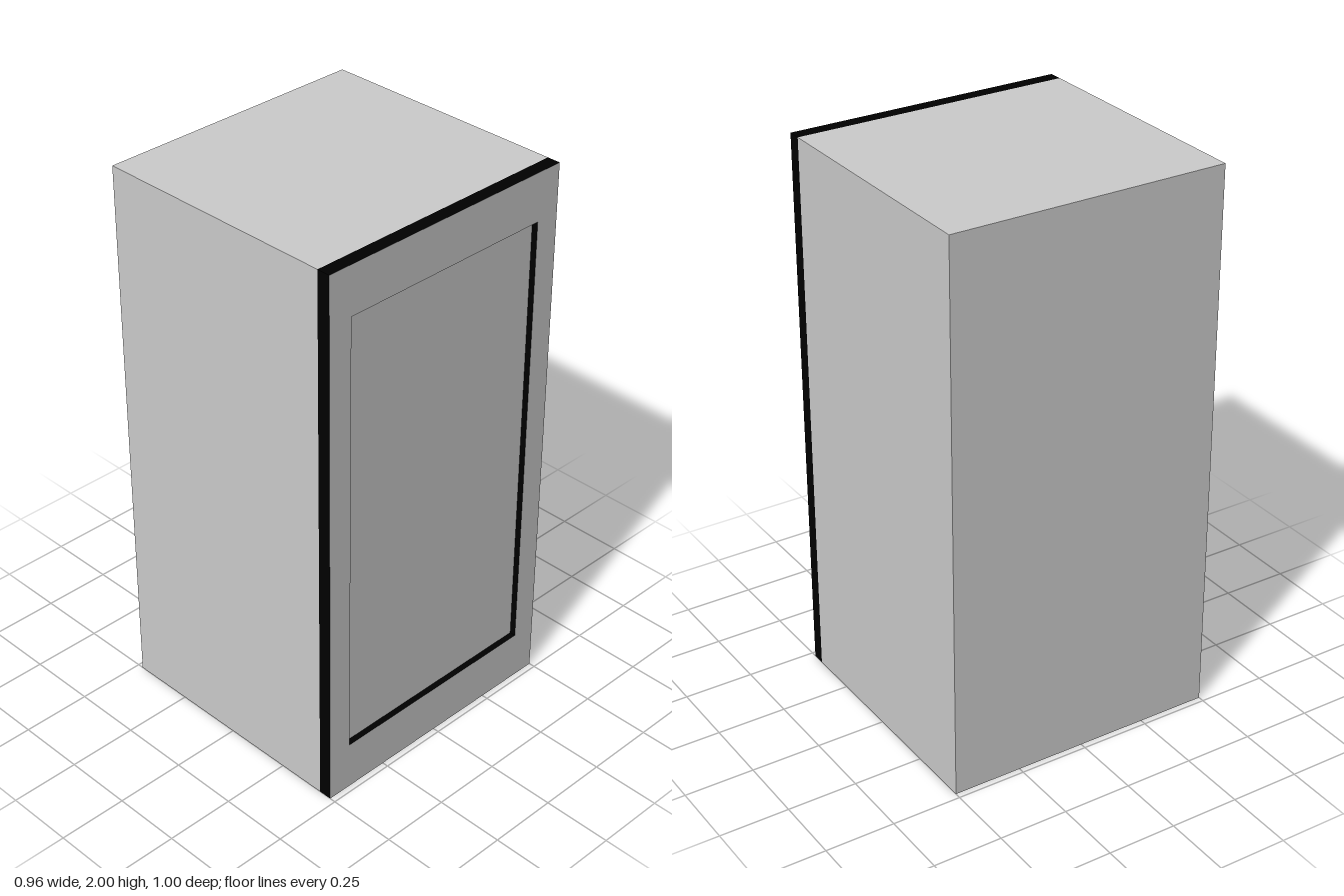
import * as THREE from 'three';

const H = 2, D = 1;                       // overall height and depth
const BACK = -0.478, DOOR = 0.43, FACE = 0.478; // x planes
const PANEL_X = 0.456;                    // recessed panel surface
const HOLE = { w: 0.82, y0: 0.18, y1: 1.825 };

const grey = new THREE.MeshStandardMaterial({ color: 0xcccccc });
const black = new THREE.MeshStandardMaterial({ color: 0x000000 });

function box(name, x0, x1, y0, y1, depth) {
  const mesh = new THREE.Mesh(new THREE.BoxGeometry(x1 - x0, y1 - y0, depth), grey);
  mesh.position.set((x0 + x1) / 2, (y0 + y1) / 2, 0);
  mesh.name = name;
  return mesh;
}

function rect(target, w, y0, y1) {
  target.moveTo(-w / 2, y0);
  target.lineTo(w / 2, y0);
  target.lineTo(w / 2, y1);
  target.lineTo(-w / 2, y1);
  target.closePath();
  return target;
}

export function createModel() {
  const group = new THREE.Group();
  group.name = 'cabinet';

  // plain cabinet body
  group.add(box('body', BACK, DOOR, 0, H, D));

  // door frame: grey face, black outer and inner edges
  const shape = rect(new THREE.Shape(), D, 0, H);
  shape.holes.push(rect(new THREE.Path(), HOLE.w, HOLE.y0, HOLE.y1));
  const geometry = new THREE.ExtrudeGeometry(shape, { depth: FACE - DOOR, bevelEnabled: false });
  geometry.rotateY(Math.PI / 2);
  const frame = new THREE.Mesh(geometry, [grey, black]);
  frame.position.x = DOOR;
  frame.name = 'doorFrame';
  group.add(frame);

  // panel set back inside the frame
  group.add(box('doorPanel', DOOR, PANEL_X, HOLE.y0, HOLE.y1, HOLE.w));

  return group;
}
